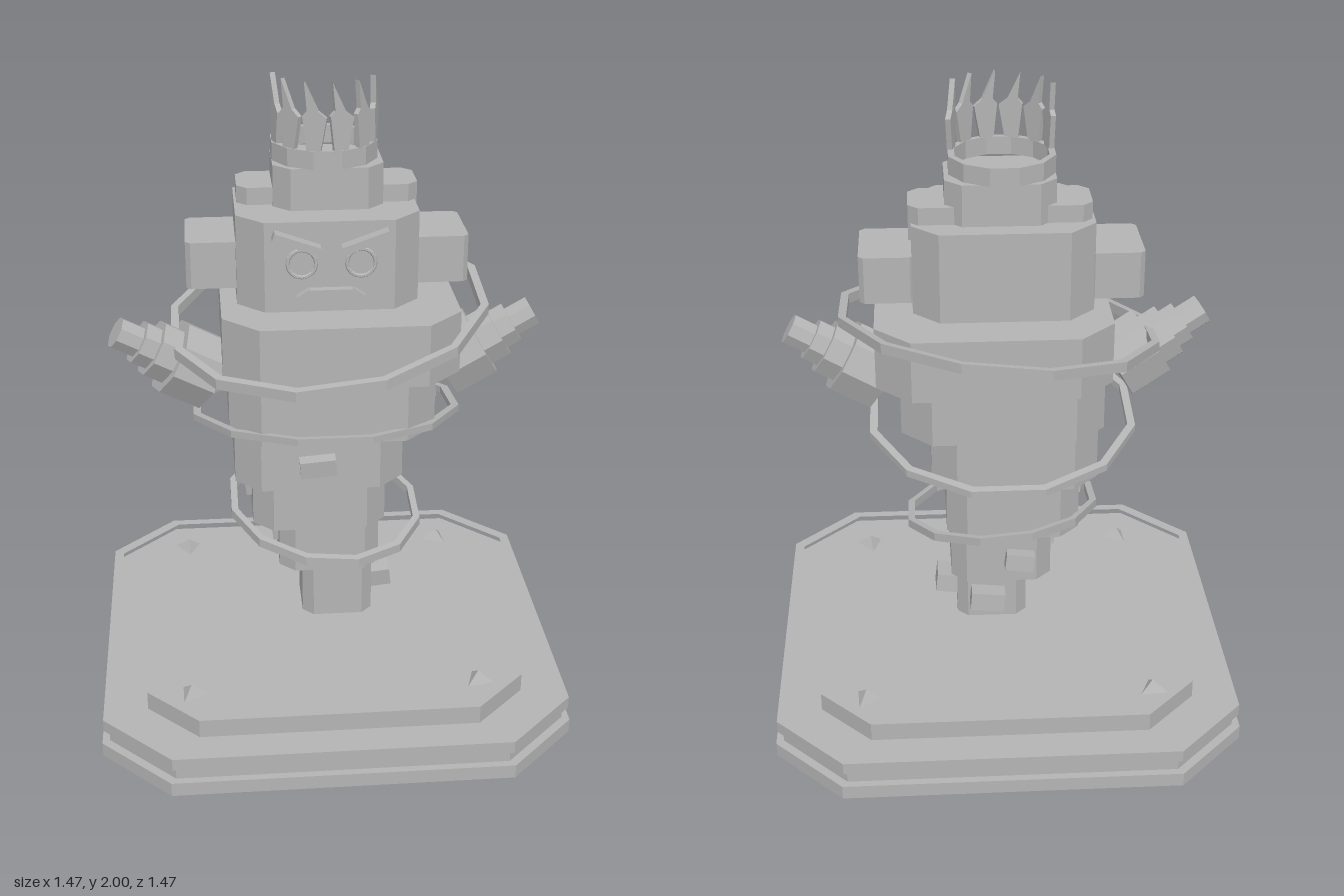
import * as THREE from 'three';

const stone = new THREE.MeshStandardMaterial({ color: 0xb4b4b4, flatShading: true });
stone.name = 'stone grey';

export function createModel() {
  const model = new THREE.Group();

  const add = (name, geometry, parent = model) => {
    const mesh = new THREE.Mesh(geometry, stone);
    mesh.name = name;
    parent.add(mesh);
    return mesh;
  };
  const outline = (x0, x1, z0, z1, c, Type = THREE.Shape) => {
    const s = new Type();
    [[x0 + c, z0], [x1 - c, z0], [x1, z0 + c], [x1, z1 - c],
      [x1 - c, z1], [x0 + c, z1], [x0, z1 - c], [x0, z0 + c]]
      .forEach(([x, z], i) => (i ? s.lineTo(x, -z) : s.moveTo(x, -z)));
    s.closePath();
    return s;
  };
  const raise = (shape, y0, y1) =>
    new THREE.ExtrudeGeometry(shape, { depth: y1 - y0, bevelEnabled: false })
      .rotateX(-Math.PI / 2).translate(0, y0, 0);
  // Block with its four upright corners cut off
  const block = (name, x0, x1, y0, y1, z0, z1, c) =>
    add(name, raise(outline(x0, x1, z0, z1, c), y0, y1));

  // Stepped base with a raised rim and a central plate
  block('baseFoot', -0.733, 0.733, 0, 0.045, -0.733, 0.733, 0.213);
  block('baseMiddle', -0.71, 0.71, 0.045, 0.1, -0.71, 0.71, 0.205);
  const rim = outline(-0.727, 0.727, -0.727, 0.727, 0.212);
  rim.holes.push(outline(-0.695, 0.695, -0.695, 0.695, 0.2, THREE.Path));
  add('baseRim', raise(rim, 0.088, 0.127));
  block('basePlate', -0.592, 0.592, 0.1, 0.16, -0.587, 0.587, 0.16);

  // Little three-sided spikes on the plate corners
  [[-0.457, -0.46, 0.1], [0.447, -0.46, -1.5], [-0.453, 0.449, 1.6], [0.448, 0.446, 3.36]]
    .forEach(([x, z, turn]) => {
      const spike = add('baseSpike', new THREE.ConeGeometry(0.05, 0.037, 3));
      spike.position.set(x, 0.178, z);
      spike.rotation.y = turn;
    });

  // Floating body, widening upwards
  [
    [-0.08, 0.147, 0.22, 0.405, -0.11, 0.115],
    [-0.155, 0.167, 0.405, 0.59, -0.185, 0.14],
    [-0.24, 0.18, 0.59, 0.775, -0.225, 0.2],
    [-0.295, 0.225, 0.775, 0.96, -0.245, 0.28],
    [-0.31, 0.315, 0.96, 1.145, -0.28, 0.34],
    [-0.325, 0.386, 1.145, 1.338, -0.352, 0.36],
  ].forEach((b) => block('bodySegment', ...b, (b[1] - b[0]) * 0.15));

  // Head, ears and cap
  block('head', -0.275, 0.27, 1.338, 1.615, -0.218, 0.217, 0.08);
  block('rightEar', -0.425, -0.26, 1.375, 1.52, -0.145, 0.1, 0.015);
  block('leftEar', 0.26, 0.428, 1.375, 1.52, -0.145, 0.1, 0.015);
  block('templeBar', -0.267, 0.278, 1.56, 1.668, -0.133, 0.042, 0.03);
  block('headCap', -0.16, 0.17, 1.61, 1.742, -0.155, 0.11, 0.05);

  // Face: round eyes, angry brows and a frown
  const bar = (name, x0, y0, x1, y1, w, depth) => {
    const m = add(name, new THREE.BoxGeometry(Math.hypot(x1 - x0, y1 - y0), w, depth));
    m.position.set((x0 + x1) / 2, (y0 + y1) / 2, 0.212 + depth / 2);
    m.rotation.z = Math.atan2(y1 - y0, x1 - x0);
  };
  for (const s of [-1, 1]) {
    const eye = add('eye', new THREE.CylinderGeometry(0.042, 0.042, 0.03, 16).rotateX(Math.PI / 2));
    eye.position.set(s * 0.087, 1.495, 0.222);
    const eyeRim = add('eyeRim', new THREE.TorusGeometry(0.042, 0.006, 6, 16));
    eyeRim.position.set(s * 0.087, 1.495, 0.237);
    bar('brow', s * 0.17, 1.583, s * 0.035, 1.535, 0.024, 0.046);
    bar('mouthCorner', s * 0.096, 1.383, s * 0.06, 1.407, 0.02, 0.03);
  }
  bar('mouth', -0.066, 1.403, 0.066, 1.403, 0.02, 0.03);

  // Twelve-sided bands, tilted by sloping their height across x and z
  const band = (name, r, w, h, [x, y, z], dx = 0, dz = 0) => {
    const R = r / Math.cos(Math.PI / 12);
    const profile = [[R, -h], [R, h], [R - w, h], [R - w, -h], [R, -h]]
      .map(([a, b]) => new THREE.Vector2(a, b / 2));
    const g = new THREE.LatheGeometry(profile, 12, Math.PI / 12);
    const p = g.attributes.position;
    for (let i = 0; i < p.count; i++) p.setY(i, p.getY(i) + dx * p.getX(i) + dz * p.getZ(i));
    g.computeVertexNormals();
    add(name, g).position.set(x, y, z);
  };
  band('upperRing', 0.486, 0.025, 0.032, [0.008, 1.25, -0.016], 0.11, -0.125);
  band('middleRing', 0.416, 0.025, 0.022, [-0.002, 0.935, -0.007], 0, 0.157);
  band('lowerRing', 0.305, 0.022, 0.028, [-0.002, 0.582, 0.003], -0.09, -0.17);

  // Crown with jagged blades along the front half
  band('crownRing', 0.158, 0.02, 0.055, [-0.002, 1.773, -0.022]);
  const blade = new THREE.Shape([[-0.024, 0], [0.018, 0], [0.036, 0.1], [0.01, 0.12],
    [-0.03, 0.203], [-0.022, 0.12], [-0.036, 0.105]].map(([x, y]) => new THREE.Vector2(x, y)));
  for (let i = 0; i < 6; i++) {
    const a = THREE.MathUtils.degToRad(-75 + 30 * i);
    const m = add('crownBlade', new THREE.ExtrudeGeometry(blade, { depth: 0.016, bevelEnabled: false }));
    m.position.set(0.142 * Math.sin(a), 1.797, -0.022 + 0.142 * Math.cos(a));
    m.rotation.y = a;
  }

  // Stepped arms pointing up and outwards: radius, start and end measured from the tip
  const arm = (name, tip, dir) => {
    const g = new THREE.Group();
    g.name = name;
    [[0.05, 0, 0.09], [0.07, 0.075, 0.13], [0.092, 0.125, 0.2], [0.122, 0.19, 0.33]]
      .forEach(([r, a, b]) => add('armStep',
        new THREE.CylinderGeometry(r, r, b - a, 8).translate(0, -(a + b) / 2, 0), g));
    g.position.set(...tip);
    g.quaternion.setFromUnitVectors(new THREE.Vector3(0, 1, 0), new THREE.Vector3(...dir).normalize());
    model.add(g);
  };
  arm('leftArm', [0.655, 1.235, 0.002], [0.87, 0.5, 0]);
  arm('rightArm', [-0.645, 1.235, 0.08], [-0.86, 0.5, 0.15]);

  // Tilted stone chips stuck to the body: centre, size, tilt
  [
    [-0.045, 0.865, 0.285, 0.11, 0.055, 0.07, 0.08],
    [0.175, 0.312, -0.01, 0.08, 0.06, 0.11, 0.12],
    [0.05, 0.312, -0.14, 0.11, 0.06, 0.08, 0.1],
    [-0.05, 0.495, -0.2, 0.09, 0.055, 0.07, 0.12],
    [-0.15, 0.495, -0.02, 0.05, 0.06, 0.1, 0.1],
    [-0.235, 0.675, 0, 0.05, 0.055, 0.1, 0.12],
    [0.305, 1.05, 0.13, 0.05, 0.06, 0.06, 0.15],
  ].forEach(([x, y, z, w, h, d, tilt]) => {
    const chip = add('chip', new THREE.BoxGeometry(w, h, d));
    chip.position.set(x, y, z);
    chip.rotation.set(tilt, 0, tilt);
  });

  return model;
}
